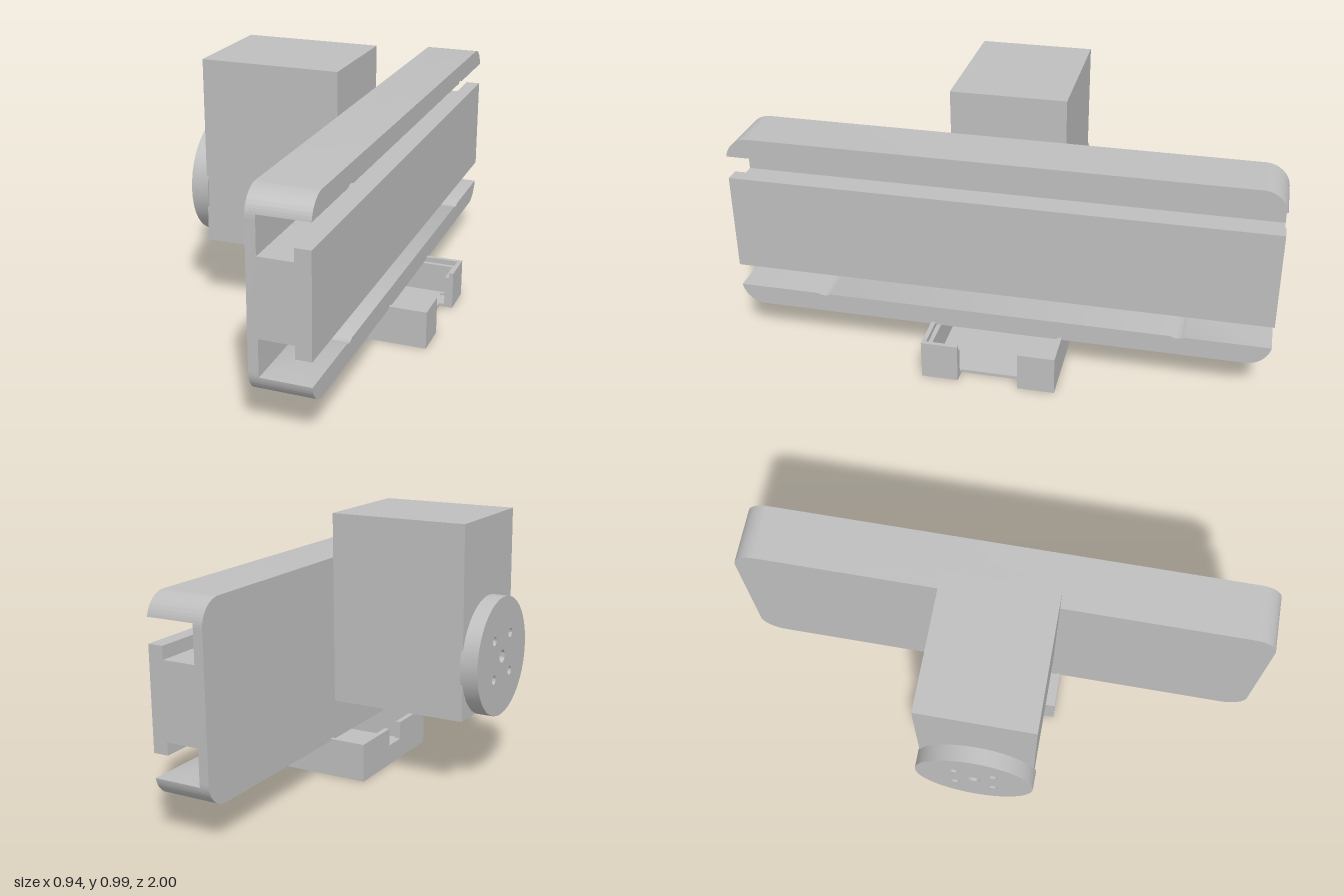
import * as THREE from 'three';
import { toCreasedNormals } from 'three/addons/utils/BufferGeometryUtils.js';

const grey = new THREE.MeshStandardMaterial({ color: 0xbebebe });
grey.name = 'machined grey';

const CY = 0.483; // height of the rail and disc axis

export function createModel() {
  const model = new THREE.Group();

  const add = (name, geometry, parent = model) => {
    const mesh = new THREE.Mesh(geometry, grey);
    mesh.name = name;
    parent.add(mesh);
    return mesh;
  };

  // Box given by its limits on each axis
  const box = (name, x0, x1, y0, y1, z0, z1, parent) => {
    const g = new THREE.BoxGeometry(x1 - x0, y1 - y0, z1 - z0);
    g.translate((x0 + x1) / 2, (y0 + y1) / 2, (z0 + z1) / 2);
    return add(name, g, parent);
  };

  const extrude = (shape, depth) => toCreasedNormals(
    new THREE.ExtrudeGeometry(shape, { depth, bevelEnabled: false, curveSegments: 20 }), 0.5);

  // Side-view shape (z, height above the axis) extruded along x
  const alongX = (shape, x0, x1) => extrude(shape, x1 - x0).rotateY(Math.PI / 2).translate(x0, 0, 0);

  const circle = (x, y, r) => new THREE.Path().absarc(x, y, r, 0, Math.PI * 2, true);

  // Motor housing
  box('motorHousing', -0.41, 0.112, 0.285, 0.992, -0.212, 0.212);

  // Output disc with a centre hole and four bolt holes
  const disc = new THREE.Shape().absarc(0, 0, 0.221, 0, Math.PI * 2);
  disc.holes.push(circle(0, 0, 0.024));
  for (const sx of [-1, 1]) for (const sy of [-1, 1]) disc.holes.push(circle(sx * 0.072, sy * 0.072, 0.017));
  add('outputDisc', alongX(disc, -0.47, -0.403).translate(0, CY, 0));

  // Rail: rounded back plate with a round opening
  const rail = new THREE.Group();
  rail.name = 'rail';
  model.add(rail);
  const H = 0.347, R = 0.09, cu = 1 - R, cv = H - R;
  const plate = new THREE.Shape();
  plate.absarc(cu, cv, R, 0, Math.PI / 2);
  plate.absarc(-cu, cv, R, Math.PI / 2, Math.PI);
  plate.absarc(-cu, -cv, R, Math.PI, Math.PI * 1.5);
  plate.absarc(cu, -cv, R, Math.PI * 1.5, Math.PI * 2);
  plate.holes.push(circle(0, 0, 0.207));
  add('railBackPlate', alongX(plate, 0.112, 0.148).translate(0, CY, 0), rail);

  // Upper and lower lips, each with two shallow grooves
  const inner = 0.272;
  const a = Math.asin((inner - cv) / R);
  const edge = cu + R * Math.cos(a);
  const lip = new THREE.Shape().moveTo(-edge, inner);
  for (const u of [-0.667, 0.667]) {
    lip.lineTo(u - 0.025, inner);
    lip.quadraticCurveTo(u, inner + 0.014, u + 0.025, inner);
  }
  lip.lineTo(edge, inner);
  lip.absarc(cu, cv, R, a, Math.PI / 2);
  lip.absarc(-cu, cv, R, Math.PI / 2, Math.PI - a);
  for (const [name, turn] of [['upperLip', 0], ['lowerLip', Math.PI]]) {
    add(name, alongX(lip, 0.148, 0.327).rotateX(turn).translate(0, CY, 0), rail);
  }

  // T-shaped centre bar
  const tee = new THREE.Shape([
    [0.148, -0.138], [0.271, -0.138], [0.271, -0.184], [0.327, -0.184],
    [0.327, 0.184], [0.271, 0.184], [0.271, 0.138], [0.148, 0.138],
  ].map(([x, y]) => new THREE.Vector2(x, y)));
  add('centreBar', extrude(tee, 2).translate(0, CY, -1), rail);

  // Tray: floor with a cut-out and four screw holes
  const tray = new THREE.Group();
  tray.name = 'tray';
  model.add(tray);
  const X0 = -0.03, X1 = 0.47, W = 0.248, N = 0.112, T = 0.016, top = 0.145;
  const floor = new THREE.Shape([
    [X0, -W], [X1, -W], [X1, -N], [0.418, -N], [0.418, N], [X1, N], [X1, W], [X0, W],
  ].map(([x, y]) => new THREE.Vector2(x, y)));
  for (const x of [0.03, 0.41]) for (const z of [-0.195, 0.195]) floor.holes.push(circle(x, z, 0.012));
  add('trayFloor', extrude(floor, 0.012).rotateX(-Math.PI / 2), tray);

  // Tray walls with a lower inner ledge, mirrored front to back
  for (const s of [-1, 1]) {
    const wall = (name, x0, x1, y1, za, zb) =>
      box(name, x0, x1, 0.012, y1, Math.min(s * za, s * zb), Math.max(s * za, s * zb), tray);
    wall('sideWall', X0, X1, top, W - T, W);
    wall('sideLedge', X0 + T, X1 - T, top - 0.02, W - 2 * T, W - T);
    wall('endWall', X1 - T, X1, top, N, W - T);
    wall('endLedge', X1 - 2 * T, X1 - T, top - 0.02, N, W - 2 * T);
    wall('slottedWall', X0, X0 + 0.02, top, 0.045, W - T);
  }
  box('slotSill', X0, X0 + 0.02, 0.012, 0.077, -0.045, 0.045, tray);

  return model;
}
